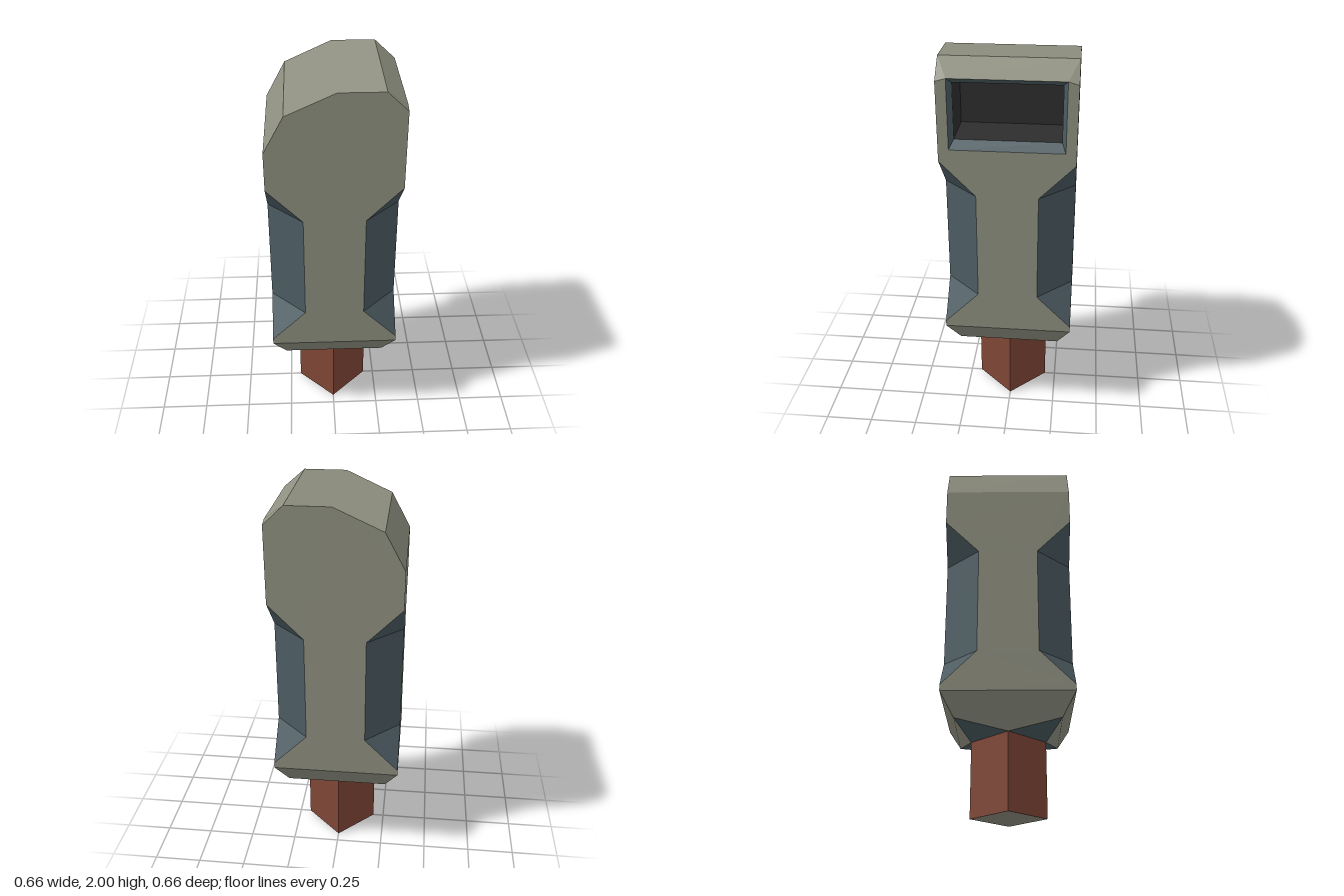
import * as THREE from 'three';

const R = 0.332, W = 0.154; // half width, half width of the flat between the waist chamfers
const olive = new THREE.MeshStandardMaterial({ color: 0x8f9080 });
const slate = new THREE.MeshStandardMaterial({ color: 0x4c5c62 });
const dark = new THREE.MeshStandardMaterial({ color: 0x2d2d2d });
const red = new THREE.MeshStandardMaterial({ color: 0x7f4636, flatShading: true });
const v = (x, y, z) => new THREE.Vector3(x, y, z);

function newell(pts) {
  const n = v(0, 0, 0);
  pts.forEach((p, i) => n.add(p.clone().cross(pts[(i + 1) % pts.length])));
  return n;
}

// Collects flat faces; each is turned away from (or towards) a centre point.
// A face may have several pieces, which then share one normal.
function faceBuilder(centre, inward = false) {
  const pos = [], nor = [];
  return {
    add(...pieces) {
      const sum = v(0, 0, 0);
      const turned = pieces.map((piece) => {
        let pts = piece;
        const mid = pts.reduce((a, p) => a.add(p), v(0, 0, 0)).divideScalar(pts.length).sub(centre);
        if ((newell(pts).dot(mid) < 0) !== inward) pts = [...pts].reverse();
        sum.add(newell(pts));
        return pts;
      });
      sum.normalize();
      for (const pts of turned) {
        const n = newell(pts).normalize();
        const u = v(0, 1, 0).cross(n);
        if (u.length() < 0.01) u.set(1, 0, 0);
        u.normalize();
        const w = n.clone().cross(u);
        const flat = pts.map((p) => new THREE.Vector2(p.dot(u), p.dot(w)));
        for (const tri of THREE.ShapeUtils.triangulateShape(flat, [])) {
          for (const i of tri) {
            pos.push(...pts[i].toArray());
            nor.push(...sum.toArray());
          }
        }
      }
    },
    mesh(name, material) {
      const g = new THREE.BufferGeometry();
      g.setAttribute('position', new THREE.Float32BufferAttribute(pos, 3));
      g.setAttribute('normal', new THREE.Float32BufferAttribute(nor, 3));
      const m = new THREE.Mesh(g, material);
      m.name = name;
      return m;
    },
  };
}

export function createModel() {
  const group = new THREE.Group();
  const centre = v(0, 1.05, 0);
  const body = faceBuilder(centre);
  const chamfers = faceBuilder(centre);

  // Outline shared by all four walls: down one side of the waist and up the other
  const waist = [[R, 1.51], [W, 1.33], [W, 0.76], [R, 0.58], [R, 0.55]];
  const lower = [...waist, ...waist.map(([a, y]) => [-a, y]).reverse()];
  const crown = [[-R, 1.705], [-0.232, 1.89], [0.01, 2], [0.232, 2], [R, 1.905]];

  // Front and back walls
  for (const z of [R, -R]) body.add([...lower, ...crown].map(([x, y]) => v(x, y, z)));
  // Plain wall, and the wall notched for the window
  body.add([...lower, [-R, 1.705], [R, 1.705]].map(([z, y]) => v(-R, y, z)));
  const notch = [[-R, 1.905], [-0.28, 1.92], [-0.28, 1.57], [0.28, 1.57], [0.28, 1.92], [R, 1.905]];
  body.add([...lower, ...notch].map(([z, y]) => v(R, y, z)));

  // Roof
  const roof = (i) => [-R, R].map((z) => v(...crown[i], z))
    .concat([R, -R].map((z) => v(...crown[i + 1], z)));
  body.add(roof(0));
  body.add(roof(1), roof(2));
  body.add([v(0.232, 2, -R), v(0.232, 2, R), v(R, 1.92, 0.28), v(R, 1.92, -0.28)]);
  for (const s of [1, -1]) {
    body.add([v(0.232, 2, s * R), v(R, 1.905, s * R), v(R, 1.92, s * 0.28)]);
  }

  // Tapered underside, one face per side
  for (let k = 0; k < 4; k++) {
    const p = (x, y, z) => v(x, y, z).applyAxisAngle(v(0, 1, 0), k * Math.PI / 2);
    const a = p(-0.265, 0.435, 0.265), b = p(0.265, 0.435, 0.265);
    body.add([p(-R, 0.55, R), a, b, p(R, 0.55, R)], [a, p(0, 0.39, 0.192), b]);
    // Corner recess above the post
    chamfers.add([b, p(0, 0.39, 0.192), p(0.192, 0.39, 0)]);
    // Waist chamfer with pointed ends
    const ends = [[1.33, 1.51], [0.76, 0.58]];
    for (const [y, tip] of ends) chamfers.add([p(R, tip, R), p(W, y, R), p(R, y, W)]);
    chamfers.add([p(W, 1.33, R), p(R, 1.33, W), p(R, 0.76, W), p(W, 0.76, R)]);
  }
  group.add(body.mesh('body', olive), chamfers.mesh('cornerChamfers', slate));

  // Window: sloped frame and dark recess, seen from inside
  const ring = (x, z, y0, y1) => [v(x, y0, z), v(x, y1, z), v(x, y1, -z), v(x, y0, -z)];
  const outer = ring(R, 0.28, 1.57, 1.92);
  const inner = ring(0.29, 0.26, 1.61, 1.89);
  const rear = ring(0.05, 0.26, 1.61, 1.89);
  const frame = faceBuilder(v(0.3, 1.75, 0), true);
  const recess = faceBuilder(v(0.17, 1.75, 0), true);
  for (let i = 0; i < 4; i++) {
    const j = (i + 1) % 4;
    frame.add([outer[i], outer[j], inner[j], inner[i]]);
    recess.add([inner[i], inner[j], rear[j], rear[i]]);
  }
  recess.add(rear);
  group.add(frame.mesh('windowFrame', slate), recess.mesh('windowRecess', dark));

  // Square post set on its corner
  const post = new THREE.Mesh(new THREE.CylinderGeometry(0.192, 0.192, 0.39, 4), [red, olive, olive]);
  post.position.y = 0.195;
  post.name = 'post';
  group.add(post);
  return group;
}
